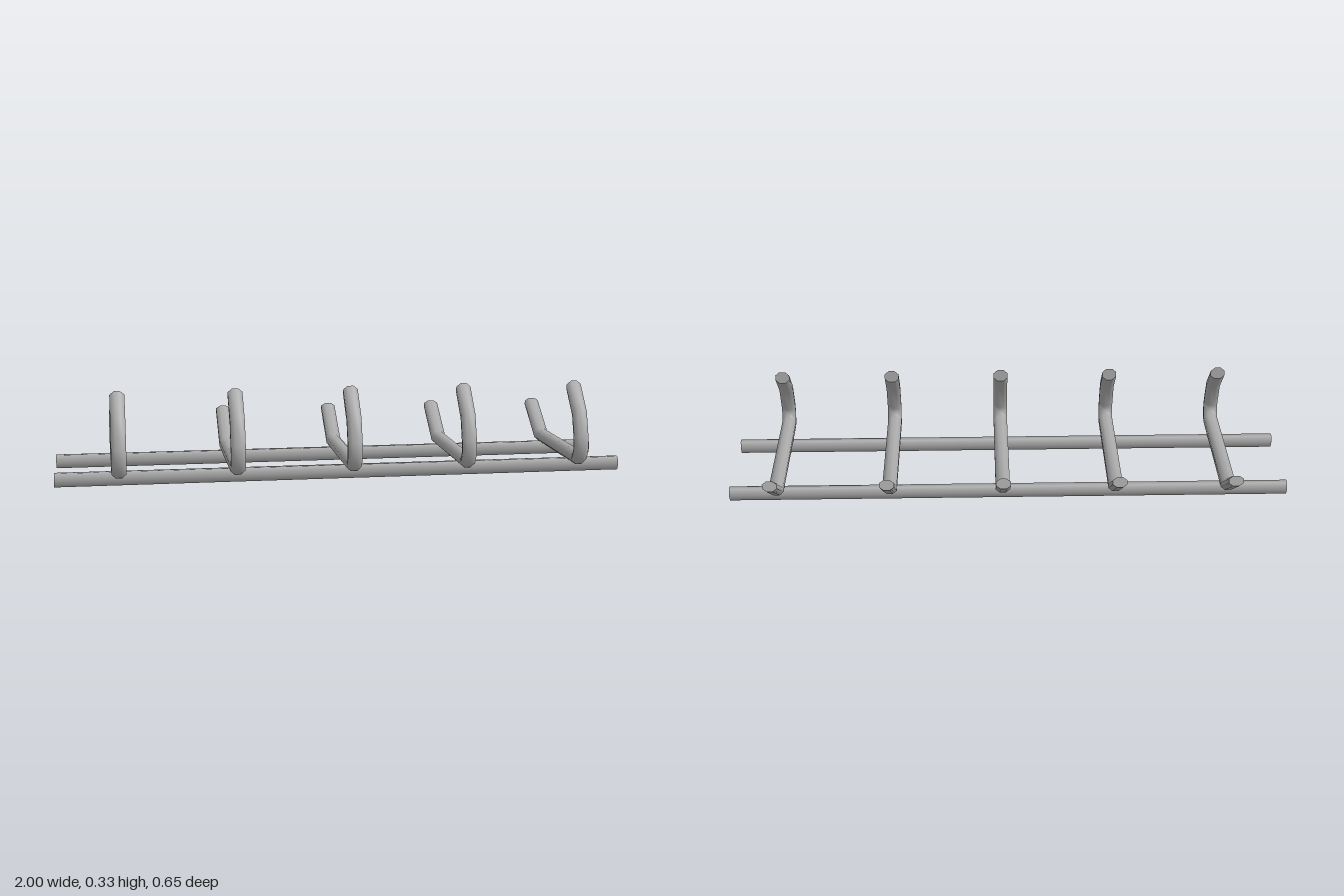
import * as THREE from 'three';

const metal = new THREE.MeshStandardMaterial({ color: 0xaaaaaa });
metal.name = 'greyMetal';

// Hook cross-sections from front tip to back tip: outer [z, y], inner [z, y]
const SECTIONS = [
  [0.213, 0.328, 0.207, 0.285],
  [0.293, 0.24, 0.279, 0.203],
  [0.324, 0.145, 0.302, 0.12],
  [0.326, 0.095, 0.302, 0.106],
  [0.305, 0.05, 0.296, 0.094],
  [0.288, 0.041, 0.288, 0.087],
  [-0.177, 0.041, -0.177, 0.087],
  [-0.325, 0.15, -0.312, 0.184],
];
const SIDES = 8;
const HALF_WIDTH = 0.0255;

// Bent octagonal bar lofted through the sections, with flat end caps
function hookGeometry() {
  const pos = [], index = [];
  const flat = Math.cos(Math.PI / SIDES);
  const addRing = ([oz, oy, iz, iy]) => {
    const start = pos.length / 3;
    for (let j = 0; j < SIDES; j++) {
      const a = ((j + 0.5) / SIDES) * Math.PI * 2;
      const s = Math.sin(a) / flat / 2;
      pos.push(
        (HALF_WIDTH * Math.cos(a)) / flat,
        (oy + iy) / 2 + (oy - iy) * s,
        (oz + iz) / 2 + (oz - iz) * s
      );
    }
    return start;
  };
  const rings = SECTIONS.map(addRing);
  for (let k = 0; k < rings.length - 1; k++) {
    for (let j = 0; j < SIDES; j++) {
      const n = (j + 1) % SIDES;
      const a = rings[k] + j, b = rings[k] + n;
      const c = rings[k + 1] + j, d = rings[k + 1] + n;
      index.push(a, b, c, b, d, c);
    }
  }
  const first = addRing(SECTIONS[0]);
  const last = addRing(SECTIONS[SECTIONS.length - 1]);
  for (let j = 1; j < SIDES - 1; j++) {
    index.push(first, first + j + 1, first + j);
    index.push(last, last + j, last + j + 1);
  }
  const g = new THREE.BufferGeometry();
  g.setAttribute('position', new THREE.Float32BufferAttribute(pos, 3));
  g.setIndex(index);
  g.computeVertexNormals();
  return g;
}

export function createModel() {
  const model = new THREE.Group();
  model.name = 'hookRack';

  // Two long six-sided rails, taller than wide
  const railGeo = new THREE.CylinderGeometry(0.019, 0.019, 2, 6);
  railGeo.rotateZ(Math.PI / 2);
  railGeo.scale(1, 1.428, 1);
  for (const [name, z] of [['frontRail', 0.197], ['backRail', -0.133]]) {
    const rail = new THREE.Mesh(railGeo, metal);
    rail.name = name;
    rail.position.set(0, 0.0235, z);
    model.add(rail);
  }

  // Five evenly spaced hooks lying across the rails
  const hookGeo = hookGeometry();
  for (let i = 0; i < 5; i++) {
    const hook = new THREE.Mesh(hookGeo, metal);
    hook.name = `hook${i + 1}`;
    hook.position.x = 0.023 + (i - 2) * 0.402;
    model.add(hook);
  }
  return model;
}
